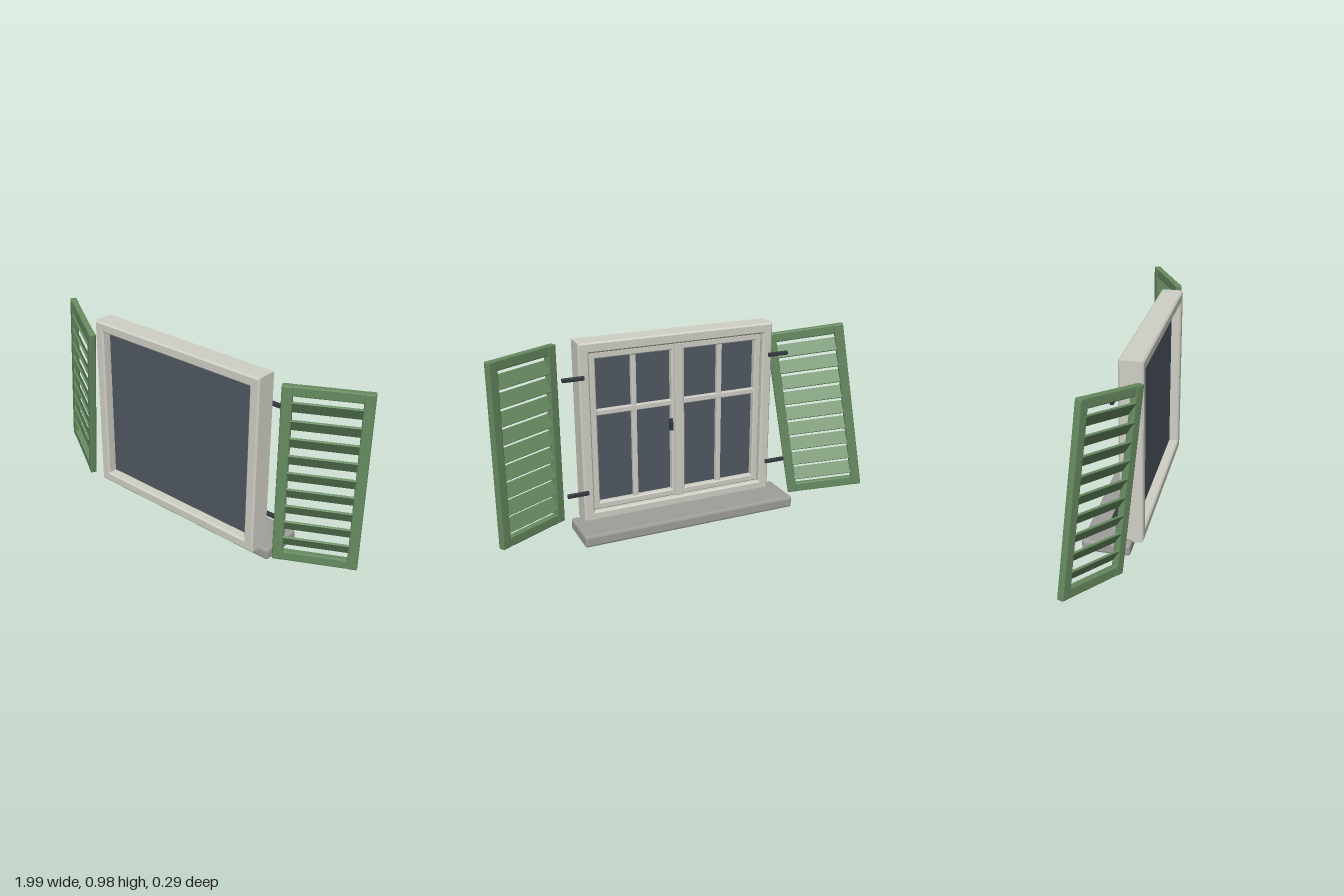
import * as THREE from 'three';
import { RoundedBoxGeometry } from 'three/addons/geometries/RoundedBoxGeometry.js';

const material = (name, color) => {
  const m = new THREE.MeshStandardMaterial({ color });
  m.name = name;
  return m;
};

// Box with a single flat chamfer on every edge
function chamferBox(w, h, d, bevel) {
  const geometry = new RoundedBoxGeometry(w, h, d, 1, bevel);
  geometry.computeVertexNormals();
  return geometry;
}

function addBox(parent, name, mat, size, pos, bevel = 0.005) {
  const mesh = new THREE.Mesh(chamferBox(...size, bevel), mat);
  mesh.name = name;
  mesh.position.set(...pos);
  parent.add(mesh);
  return mesh;
}

// Rectangular ring extruded along z, with softened edges
function ring(w, h, border, depth, bevel) {
  const rect = (target, a, b) => {
    target.moveTo(-a, -b).lineTo(a, -b).lineTo(a, b).lineTo(-a, b).closePath();
    return target;
  };
  const shape = rect(new THREE.Shape(), w / 2, h / 2);
  shape.holes.push(rect(new THREE.Path(), w / 2 - border, h / 2 - border));
  const geometry = new THREE.ExtrudeGeometry(shape, {
    depth: depth - 2 * bevel, bevelEnabled: true, bevelSegments: 1,
    bevelSize: bevel, bevelThickness: bevel, bevelOffset: -bevel,
  });
  return geometry.translate(0, 0, bevel - depth / 2);
}

// Louvred shutter centred on its own origin
function createShutter(name, mat) {
  const shutter = new THREE.Group();
  shutter.name = name;
  const W = 0.4, H = 0.91, T = 0.035, border = 0.05, slats = 9, pitch = 0.0875;
  for (const s of [-1, 1]) {
    addBox(shutter, 'shutterStile', mat, [border, H, T], [s * (W - border) / 2, 0, 0], 0.007);
    addBox(shutter, 'shutterRail', mat, [W - 2 * border + 0.01, border, T - 0.004],
      [0, s * (H - border) / 2, 0], 0.006);
  }
  for (let i = 0; i < slats; i++) {
    const slat = addBox(shutter, 'slat', mat, [W - 2 * border + 0.01, 0.07, 0.011],
      [0, (i - (slats - 1) / 2) * pitch, 0], 0.002);
    slat.rotation.x = THREE.MathUtils.degToRad(30);
  }
  return shutter;
}

export function createModel() {
  const paint = material('pale frame paint', 0xcfcfc6);
  const stone = material('grey stone', 0x9f9e9a);
  const green = material('shutter green', 0x668a60);
  const pane = material('dark glass', 0x505862);
  const iron = material('dark iron', 0x33383f);

  const model = new THREE.Group();
  model.name = 'shutteredWindow';

  // Window: frame, glass and sashes around its own centre
  const win = new THREE.Group();
  win.name = 'window';
  win.position.set(0.03, 0.525, 0);
  model.add(win);

  const frame = new THREE.Mesh(ring(1.03, 0.92, 0.053, 0.115, 0.008), paint);
  frame.name = 'frame';
  frame.position.z = 0.0775;
  win.add(frame);

  const glass = new THREE.Mesh(new THREE.BoxGeometry(0.925, 0.815, 0.01), pane);
  glass.name = 'glass';
  glass.position.z = 0.08;
  win.add(glass);

  // Two sashes, each split into four panes
  const sashW = 0.462, sashH = 0.814;
  for (const s of [-1, 1]) {
    const sash = new THREE.Group();
    sash.name = s > 0 ? 'leftSash' : 'rightSash';
    sash.position.set(s * sashW / 2, 0, 0.06);
    win.add(sash);
    const border = new THREE.Mesh(ring(sashW, sashH, 0.035, 0.036, 0.005), paint);
    border.name = 'sashFrame';
    sash.add(border);
    addBox(sash, 'verticalBar', paint, [0.026, sashH - 0.06, 0.026], [0, 0, 0.002], 0.004);
    addBox(sash, 'crossBar', paint, [sashW - 0.06, 0.028, 0.026], [0, 0.1, 0.001], 0.004);
  }
  addBox(win, 'meetingStrip', paint, [0.04, sashH, 0.02], [0, 0, 0.039], 0.004);

  // Handle on the inner edge of one sash
  addBox(win, 'handlePlate', iron, [0.02, 0.06, 0.012], [0.042, -0.01, 0.037], 0.003);
  addBox(win, 'handleGrip', iron, [0.014, 0.05, 0.012], [0.042, -0.015, 0.027], 0.003);

  // Sill
  addBox(model, 'sill', stone, [1.14, 0.06, 0.235], [0.03, 0.048, -0.0325], 0.012);

  // Hinge straps
  for (const s of [-1, 1]) {
    for (const y of [0.23, 0.82]) {
      addBox(model, 'hinge', iron, [0.11, 0.02, 0.018], [0.03 + s * 0.547, y, 0.013], 0.004);
    }
  }

  // Shutters: one hangs straight, the other has slipped and leans
  const leftShutter = createShutter('leftShutter', green);
  leftShutter.position.set(0.815, 0.525, 0.004);
  leftShutter.rotation.y = THREE.MathUtils.degToRad(28);
  const rightShutter = createShutter('rightShutter', green);
  rightShutter.position.set(-0.749, 0.482, 0.004);
  rightShutter.rotation.set(0, THREE.MathUtils.degToRad(-28), THREE.MathUtils.degToRad(-9.5));
  model.add(leftShutter, rightShutter);

  return model;
}
